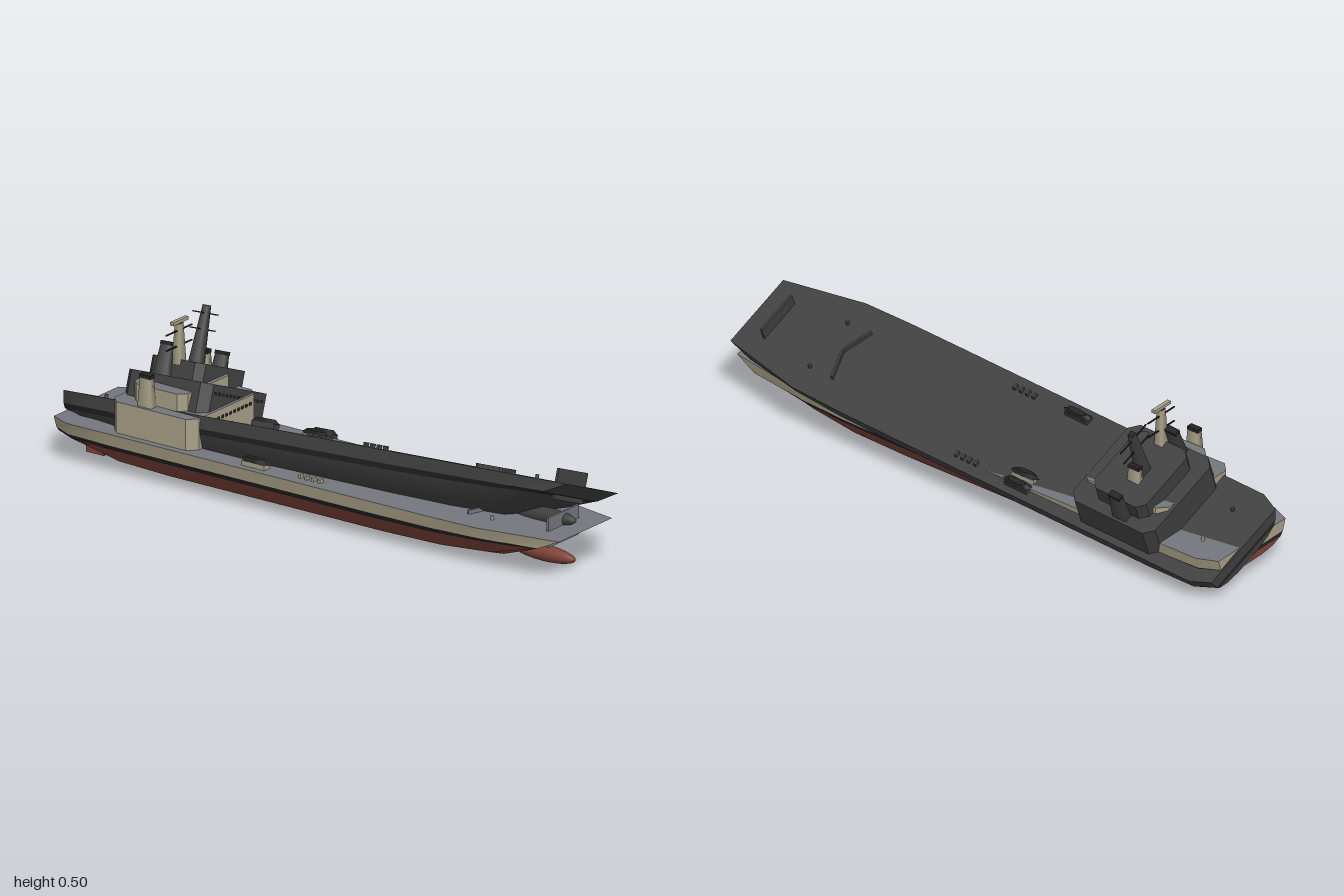
import * as THREE from 'three';
import { toCreasedNormals } from 'three/addons/utils/BufferGeometryUtils.js';

const mat = (name, color) => {
  const m = new THREE.MeshStandardMaterial({ color });
  m.name = name;
  return m;
};

// Hull sections, bow to stern: rows of [half width, y, z] from flat bottom up to deck edge
const section = (z, ...rows) => rows.map(([x, y]) => [x, y, z]);
const SECTIONS = [
  [[0.03, 0.045, 0.79], [0.09, 0.07, 0.84], [0.14, 0.1, 0.895], [0.15, 0.108, 0.915], [0.14, 0.145, 0.995]],
  section(0.7, [0.04, 0.012], [0.115, 0.04], [0.168, 0.092], [0.18, 0.106], [0.194, 0.145]),
  section(0.52, [0.055, 0.002], [0.136, 0.032], [0.179, 0.087], [0.19, 0.104], [0.199, 0.145]),
  section(0.3, [0.06, 0], [0.142, 0.03], [0.182, 0.085], [0.192, 0.103], [0.2, 0.145]),
  section(-0.55, [0.06, 0], [0.142, 0.03], [0.182, 0.085], [0.192, 0.103], [0.2, 0.145]),
  section(-0.75, [0.06, 0.015], [0.14, 0.035], [0.182, 0.086], [0.192, 0.103], [0.2, 0.145]),
  section(-0.92, [0.055, 0.05], [0.128, 0.06], [0.174, 0.088], [0.187, 0.104], [0.2, 0.145]),
  section(-0.99, [0.05, 0.068], [0.105, 0.075], [0.145, 0.091], [0.156, 0.105], [0.17, 0.145]),
];

function quads(list, crease = 0.5) {
  const p = [];
  for (const [a, b, c, d] of list) p.push(...a, ...b, ...c, ...a, ...c, ...d);
  const g = new THREE.BufferGeometry();
  g.setAttribute('position', new THREE.Float32BufferAttribute(p, 3));
  g.computeVertexNormals();
  return toCreasedNormals(g, crease);
}

// Closed plan outline at one hull row
function outline(row) {
  const left = SECTIONS.map((s) => s[row]);
  return [...left, ...left.map(([x, y, z]) => [-x, y, z]).reverse()];
}

function hullBand(from, to) {
  const list = [];
  for (let r = from; r < to; r++) {
    const lo = outline(r), hi = outline(r + 1), n = lo.length;
    for (let i = 0; i < n; i++) {
      const j = (i + 1) % n;
      list.push([lo[i], lo[j], hi[j], hi[i]]);
    }
  }
  return list;
}

function hullCap(row, up) {
  const o = outline(row), n = o.length, list = [];
  for (let i = 0; i < n / 2 - 1; i++) {
    const q = [o[i], o[i + 1], o[n - 2 - i], o[n - 1 - i]];
    list.push(up ? q : q.reverse());
  }
  return list;
}

// Upright block with chamfered corners
function chamferedBlock(hx, hz, c, height) {
  const s = new THREE.Shape();
  [[hx, hz - c], [hx - c, hz], [c - hx, hz], [-hx, hz - c], [-hx, c - hz], [c - hx, -hz], [hx - c, -hz], [hx, c - hz]]
    .forEach(([x, y], i) => (i ? s.lineTo(x, y) : s.moveTo(x, y)));
  return new THREE.ExtrudeGeometry(s, { depth: height, bevelEnabled: false }).rotateX(-Math.PI / 2);
}

// Square tapered post
const post = (top, bottom, h, depth = 1) =>
  new THREE.CylinderGeometry(top * Math.SQRT2, bottom * Math.SQRT2, h, 4).rotateY(Math.PI / 4).scale(1, 1, depth).toNonIndexed();

function createShip(name, c) {
  const ship = new THREE.Group();
  ship.name = name;
  const add = (part, geometry, material, x = 0, y = 0, z = 0) => {
    const m = new THREE.Mesh(geometry, material);
    m.name = part;
    m.position.set(x, y, z);
    ship.add(m);
    return m;
  };
  const box = (part, w, h, d, material, x, y, z) => add(part, new THREE.BoxGeometry(w, h, d), material, x, y, z);

  // Hull
  add('hullBottom', quads([...hullBand(0, 2), ...hullCap(0, false)], 0.7), c.bottom);
  add('waterlineStripe', quads(hullBand(2, 3)), c.trim);
  add('hullTopsides', quads(hullBand(3, 4)), c.upper);
  add('deck', quads(hullCap(4, true)), c.deck);
  const bulb = add('bowBulb', new THREE.SphereGeometry(1, 20, 14), c.bottom, 0, 0.034, 0.83);
  bulb.scale.set(0.027, 0.027, 0.125);

  // Bow plate and V-shaped breakwater
  box('bowPlate', 0.16, 0.1, 0.008, c.deck, 0, 0.14, 0.905);
  for (const s of [-1, 1]) {
    const wing = box('breakwater', 0.112, 0.014, 0.008, c.deck, s * 0.052, 0.151, 0.625);
    wing.rotation.y = s * 0.33;
  }

  // Superstructure
  add('deckhouse', chamferedBlock(0.175, 0.168, 0.03, 0.106), [c.deck, c.upper], 0, 0.144, -0.6);
  add('bridge', chamferedBlock(0.132, 0.106, 0.025, 0.058), [c.deck, c.upper], 0, 0.25, -0.61);
  for (let i = -6; i <= 6; i++) {
    box('deckhouseWindow', 0.012, 0.01, 0.004, c.trim, i * 0.021, 0.222, -0.432);
  }

  // Mast with yards
  add('mast', post(0.01, 0.019, 0.184), c.upper, 0, 0.399, -0.62);
  box('mastCap', 0.02, 0.008, 0.02, c.trim, 0, 0.489, -0.62);
  for (const y of [0.415, 0.467]) box('yard', 0.136, 0.004, 0.004, c.trim, 0, y, -0.62);

  for (const s of [-1, 1]) {
    // Funnels
    add('funnel', post(0.011, 0.015, 0.1, 1.8), c.upper, s * 0.15, 0.298, -0.635);
    box('funnelCap', 0.023, 0.012, 0.044, c.trim, s * 0.15, 0.352, -0.635);
    // Boats on cradles
    box('boatCradle', 0.03, 0.016, 0.09, c.upper, s * 0.16, 0.153, -0.195);
    const boat = add('boat', new THREE.CylinderGeometry(0.011, 0.017, 0.014, 8), c.trim, s * 0.16, 0.168, -0.195);
    boat.scale.z = 3.3;
    // Deck vents and bollards
    for (let i = 0; i < 4; i++) box('deckVent', 0.018, 0.012, 0.01, c.upper, s * 0.155, 0.151, -0.02 + i * 0.026);
    for (const z of [0.7, -0.87]) {
      add('bollard', new THREE.CylinderGeometry(0.006, 0.006, 0.013, 8), c.upper, s * 0.1, 0.151, z);
    }
    // Rudders
    box('rudder', 0.01, 0.055, 0.07, c.bottom, s * 0.08, 0.042, -0.89);
  }
  return ship;
}

export function createModel() {
  const model = new THREE.Group();
  model.name = 'shipAndWreck';
  const black = mat('black', 0x242424);
  const beige = mat('beige', 0xa89f86);
  const charcoal = mat('charcoal', 0x404040);
  const grey = mat('deckGrey', 0x74767e);
  const red = mat('redHull', 0x7d4238);

  const ship = createShip('uprightShip', { bottom: red, trim: black, upper: beige, deck: grey });
  ship.position.set(-0.04, 0, 0);
  // Radar bar above the mast
  const radar = new THREE.Mesh(new THREE.BoxGeometry(0.08, 0.011, 0.014), beige);
  radar.name = 'radarBar';
  radar.position.set(0, 0.498, -0.62);
  ship.add(radar);

  // Heeled dark twin
  const wreck = createShip('listingShip', { bottom: charcoal, trim: black, upper: charcoal, deck: charcoal });
  wreck.position.set(-0.043, 0.074, 0);
  wreck.rotation.set(-0.06, 0, -0.384);

  model.add(ship, wreck);
  return model;
}
